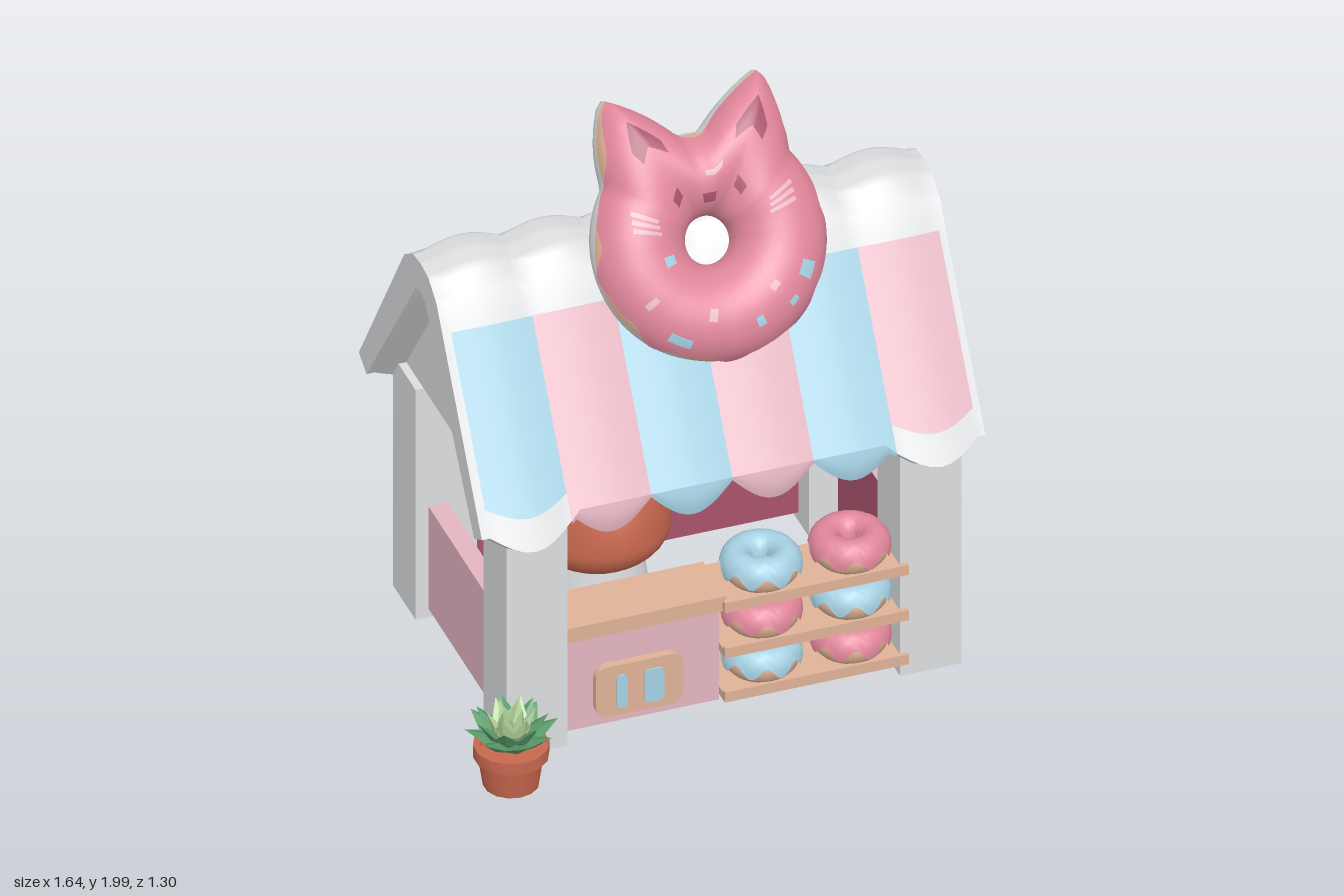
import * as THREE from 'three';
import { toCreasedNormals } from 'three/addons/utils/BufferGeometryUtils.js';

const mat = (name, color) => Object.assign(new THREE.MeshStandardMaterial({ color }), { name });
const M = {
  white: mat('white', 0xdcdddf), blue: mat('sky blue', 0xa5d0e2), pink: mat('pale pink', 0xe3b5c1),
  icing: mat('icing pink', 0xe0869a), deep: mat('deep pink', 0xa9536c), tan: mat('biscuit', 0xdeb296),
  clay: mat('terracotta', 0xc7674e), green: mat('dark green', 0x5a9a69), lime: mat('light green', 0xb4d59b),
};

function add(parent, name, geo, material, x = 0, y = 0, z = 0) {
  const m = new THREE.Mesh(geo, material);
  m.name = name;
  m.position.set(x, y, z);
  parent.add(m);
  return m;
}

// box given by its limits
function box(parent, name, material, x0, x1, y0, y1, z0, z1) {
  return add(parent, name, new THREE.BoxGeometry(x1 - x0, y1 - y0, z1 - z0), material,
    (x0 + x1) / 2, (y0 + y1) / 2, (z0 + z1) / 2);
}

// surface through f(i, j) -> [x, y, z]; faces point along di x dj
function grid(f, nu, nv, crease = 0.7) {
  const pos = [], idx = [];
  for (let i = 0; i <= nu; i++) for (let j = 0; j <= nv; j++) pos.push(...f(i, j));
  for (let i = 0; i < nu; i++) for (let j = 0; j < nv; j++) {
    const a = i * (nv + 1) + j, b = a + nv + 1;
    idx.push(a, b, a + 1, b, b + 1, a + 1);
  }
  const g = new THREE.BufferGeometry();
  g.setAttribute('position', new THREE.Float32BufferAttribute(pos, 3));
  g.setIndex(idx);
  return toCreasedNormals(g, crease);
}

// rounded plate facing +z
function plate(w, h, r, d) {
  const s = new THREE.Shape(), x = w / 2 - r, y = h / 2 - r;
  s.absarc(x, y, r, 0, Math.PI / 2).absarc(-x, y, r, Math.PI / 2, Math.PI);
  s.absarc(-x, -y, r, Math.PI, Math.PI * 1.5).absarc(x, -y, r, Math.PI * 1.5, Math.PI * 2);
  return new THREE.ExtrudeGeometry(s, { depth: d, bevelEnabled: false, curveSegments: 6 });
}

// part of a ring: Ro(theta) outer radius, ri inner radius, b half thickness, p0/p1 limits around the tube
function ringPart(Ro, ri, b, p0, p1, off = 0, t0 = 0, t1 = Math.PI * 2, nu = 48, nv = 10) {
  return grid((i, j) => {
    const t = t0 + (t1 - t0) * i / nu, a0 = p0(t), p = a0 + (p1(t) - a0) * j / nv;
    const c = (Ro(t) + ri) / 2, a = (Ro(t) - ri) / 2;
    const r = c + (a + off) * Math.cos(p);
    return [r * Math.cos(t), r * Math.sin(t), (b + off) * Math.sin(p)];
  }, nu, nv, 1.2);
}
const k = v => () => v;
const smooth = THREE.MathUtils.smoothstep;
const lathe = pts => new THREE.LatheGeometry(pts.map(q => new THREE.Vector2(...q)), 14);

// ---- scalloped roof: puffy ridge, nearly flat slopes ----
const ZC = -0.087, CELL = 0.252, X0 = -0.725;
const OUT = [[0, 1.53], [0.065, 1.523], [0.135, 1.475], [0.515, 0.885]];
const INN = [[0, 1.43], [0.04, 1.42], [0.08, 1.36], [0.45, 0.85]];
function roofPoint(s, x, off = 0, inner = false) {
  const t = Math.min(Math.abs(s), 3), i = Math.min(2, Math.floor(t)), f = t - i, P = inner ? INN : OUT;
  const u = THREE.MathUtils.clamp((x - X0) / CELL, 0, 6), bump = Math.abs(Math.sin(u * Math.PI));
  const tucked = s > 0 && u > 1 && u < 5;
  const ang = Math.min(t / 2, 1) * 0.98;
  const out = (inner ? 0 : bump * (0.01 + 0.02 * (1 - smooth(t, 0.8, 2.1)))) + off;
  // the front eave is drawn in behind the striped lip
  const down = (tucked ? -0.03 : 0.065 * bump) * Math.max(0, t - 2) ** 2;
  const z = P[i][0] + (P[i + 1][0] - P[i][0]) * f + Math.sin(ang) * out + 0.56 * down;
  const y = P[i][1] + (P[i + 1][1] - P[i][1]) * f + Math.cos(ang) * out - 0.83 * down;
  return [x, y, ZC + Math.sign(s) * z];
}
function buildRoof(root) {
  const g = new THREE.Group();
  g.name = 'roof';
  root.add(g);
  const N = 36, S = j => 3 - 6 * j / N;
  const xs = [-0.75];
  for (let i = 0; i <= 48; i++) xs.push(X0 + CELL * i / 8);
  xs.push(0.81);
  const rows = xs.map(x => {
    const o = [], n = [];
    for (let j = 0; j <= N; j++) { o.push(roofPoint(S(j), x)); n.unshift(roofPoint(S(j), x, 0, true)); }
    return [...o, ...n, o[0]];
  });
  add(g, 'roofShell', grid((i, j) => rows[i][j], xs.length - 1, 2 * N + 2), M.white);
  add(g, 'roofEndRight', grid((i, j) => roofPoint(S(j), -0.75, 0, i === 0), 1, N), M.white);
  add(g, 'roofEndLeft', grid((i, j) => roofPoint(S(j), 0.81, 0, i === 1), 1, N), M.white);
  // coloured awning stripes: s0 and s1 are the edges, running from front to back
  const stripe = (c, s0, s1, material) => add(g, 'awningStripe', grid((i, j) =>
    roofPoint(s0 + (s1 - s0) * j / 8, X0 + CELL * (c + i / 8), 0.006), 8, 8), material);
  for (let c = 0; c < 6; c++) {
    const edge = c === 0 || c === 5, color = c % 2 ? M.pink : M.blue;
    stripe(c, edge ? 2.88 : 3, 2.13, color);
    if (edge) continue;
    stripe(c, -2.19, -2.89, color);
    // rounded lip hanging from the front edge
    add(g, 'awningLip', grid((i, j) => {
      const x = X0 + CELL * (c + i / 12), b = Math.sin(Math.PI * i / 12), a = roofPoint(3, x, 0.006);
      const q = 1 - j / 4;
      return [x, a[1] - (0.01 + 0.085 * b) * q, a[2] + 0.012 * b * Math.sin(q * Math.PI * 0.8)];
    }, 12, 4), color);
  }
}

// ---- glazed doughnut for the shelves ----
function shelfDoughnut(parent, x, y, z, material) {
  const g = new THREE.Group();
  g.name = 'doughnut';
  g.position.set(x, y + 0.052, z);
  g.rotation.x = -Math.PI / 2;
  parent.add(g);
  add(g, 'dough', ringPart(k(0.115), 0.03, 0.052, k(-Math.PI), k(Math.PI), 0, 0, 2 * Math.PI, 28, 12), M.tan);
  add(g, 'glaze', ringPart(k(0.115), 0.03, 0.052, t => -0.05 - 0.35 * Math.sin(8 * t), k(Math.PI), 0.008, 0, 2 * Math.PI, 48, 8), material);
}

// ---- big eared doughnut on the roof ----
function buildSign(root) {
  const g = new THREE.Group();
  g.name = 'roofDoughnut';
  g.position.set(0.043, 1.585, 0.165);
  g.rotation.x = -0.56;
  root.add(g);
  const EAR = 0.48, RI = 0.08, B = 0.124, FULL = Math.PI * 2;
  const Ro = t => {
    const d = Math.abs(t - Math.PI / 2);
    const ear = Math.max(0, 1 - Math.abs(d - EAR) / (d < EAR ? 0.36 : 0.46)) ** 1.15;
    return 0.352 - 0.035 * (1 - smooth(d, 0.1, 0.8)) + 0.185 * ear;
  };
  add(g, 'doughnutBack', ringPart(Ro, RI, B, k(Math.PI * 0.95), k(FULL + 0.3), 0, 0, FULL, 120, 16), M.white);
  add(g, 'doughnutDough', ringPart(Ro, RI, B, t => 0.23 + 0.06 * Math.sin(5 * t), k(1), 0.003, 0, FULL, 120, 8), M.tan);
  add(g, 'doughnutGlaze', ringPart(Ro, RI, B, t => 0.38 + 0.13 * Math.sin(9 * t) + 0.06 * Math.sin(17 * t),
    k(Math.PI * 1.02), 0.009, 0, FULL, 120, 16), M.icing);
  // thin decorations that follow the glaze
  const spot = (name, x, y, w, h, material) => {
    const t = (Math.atan2(y, x) + FULL) % FULL, r = Math.hypot(x, y);
    const a = (Ro(t) - RI) / 2, c = (Ro(t) + RI) / 2;
    const p = Math.acos(THREE.MathUtils.clamp((r - c) / a, -0.97, 0.97)), dt = w / 2 / r, dp = h / 2 / a;
    add(g, name, ringPart(Ro, RI, B, k(p - dp), k(p + dp), 0.013, t - dt, t + dt, 4, 4), material);
  };
  for (const s of [-1, 1]) {
    const e = Math.PI / 2 - s * EAR;
    add(g, 'innerEar', ringPart(Ro, RI, B, t => 0.92 + 1.6 * Math.abs(t - e), k(1.36), 0.013, e - 0.13, e + 0.13, 8, 4), M.deep);
    spot('eye', s * 0.1, 0.15, 0.035, 0.035, M.deep);
    for (let n = 0; n < 3; n++) spot('whisker', s * 0.21, 0.065 + n * 0.022, 0.012, 0.08, M.pink);
  }
  spot('nose', 0, 0.135, 0.04, 0.03, M.deep);
  for (const [x, y, w, h] of [[-0.16, -0.26, 0.07, 0.03], [0.245, -0.13, 0.05, 0.045], [-0.16, -0.03, 0.03, 0.035],
    [0.08, -0.25, 0.025, 0.03], [0.19, -0.21, 0.03, 0.02]]) spot('sprinkle', x, y, w, h, M.blue);
  for (const [x, y, w, h] of [[-0.06, -0.21, 0.025, 0.035], [-0.23, -0.14, 0.02, 0.04], [0.14, -0.16, 0.03, 0.02],
    [0.02, 0.2, 0.05, 0.015]]) spot('sprinkle', x, y, w, h, M.pink);
}

// ---- shopkeeper: eared head, pale body, blue base with two raised points ----
function buildKeeper(root) {
  const g = new THREE.Group();
  g.name = 'shopkeeper';
  g.position.set(-0.2, 0, -0.085);
  root.add(g);
  const lower = lathe([[0, 0], [0.125, 0.015], [0.2, 0.085], [0.21, 0.17], [0.18, 0.27]]);
  lower.scale(1, 1, 0.82);
  const q = lower.attributes.position;
  for (let i = 0; i < q.count; i++) if (q.getY(i) > 0.1)
    q.setY(i, 0.1 + (q.getY(i) - 0.1) * (0.35 + 0.65 * smooth(Math.abs(q.getX(i)), 0, 0.13)));
  add(g, 'keeperBase', toCreasedNormals(lower, 0.5), M.blue);
  const body = new THREE.CylinderGeometry(0.13, 0.17, 0.35, 20);
  body.scale(1, 1, 0.8);
  add(g, 'keeperBody', body, M.white, 0, 0.275, 0);
  const head = new THREE.SphereGeometry(1, 32, 24), p = head.attributes.position;
  head.scale(0.215, 0.27, 0.205);
  for (let i = 0; i < p.count; i++) {
    const e = smooth(Math.abs(p.getX(i)), 0, 0.11), y = p.getY(i);
    p.setY(i, y * (y > 0 ? 0.78 + 0.52 * e : 0.5));
  }
  head.computeVertexNormals();
  add(g, 'keeperHead', head, M.clay, 0, 0.5, 0);
}

// ---- potted succulent ----
function buildPlant(root) {
  const g = new THREE.Group();
  g.name = 'pottedPlant';
  g.position.set(-0.69, 0.07, 0.51);
  root.add(g);
  const pot = lathe([[0, 0], [0.083, 0], [0.098, 0.1], [0.112, 0.1], [0.112, 0.14], [0.09, 0.14], [0.088, 0.125], [0, 0.125]]);
  add(g, 'pot', toCreasedNormals(pot, 0.5), M.clay);
  // count, tilt, length, half width, colour
  for (const [n, tilt, len, w, m] of [[8, 1.0, 0.16, 0.046, M.green], [7, 0.72, 0.155, 0.042, M.green],
    [6, 0.45, 0.15, 0.04, M.lime], [4, 0.2, 0.15, 0.034, M.lime]]) {
    for (let i = 0; i < n; i++) {
      const geo = new THREE.OctahedronGeometry(1);
      geo.scale(w, len / 2, 0.014);
      geo.translate(0, len / 2, 0.01);
      geo.rotateX(tilt);
      geo.rotateY(i / n * Math.PI * 2 + tilt * 3);
      geo.computeVertexNormals();
      add(g, 'leaf', geo, m, 0, 0.13, 0);
    }
  }
}

export function createModel() {
  const root = new THREE.Group();
  root.name = 'doughnutStall';

  // corner posts and the solid loft between the gables
  for (const x of [-0.66, 0.56])
    for (const z of [0.2, -0.56]) box(root, 'post', M.white, x, x + 0.19, 0.07, 0.88, z, z + 0.19);
  const s = new THREE.Shape([[-0.455, 0.88], [0.455, 0.88], [0.06, 1.45], [-0.06, 1.45]].map(q => new THREE.Vector2(...q)));
  const loft = new THREE.ExtrudeGeometry(s, { depth: 1.36, bevelEnabled: false });
  loft.rotateY(-Math.PI / 2);
  add(root, 'gableLoft', loft, M.white, 0.725, 0, ZC);

  // low walls: pale outside, deep pink inside (face order +x -x +y -y +z -z)
  const wall = (inside, ...limits) =>
    box(root, 'wall', [0, 1, 2, 3, 4, 5].map(i => i === inside ? M.deep : M.pink), ...limits);
  wall(4, -0.47, 0.56, 0.1, 0.46, -0.52, -0.46);
  wall(0, -0.62, -0.56, 0.1, 0.46, -0.37, 0.2);
  wall(1, 0.65, 0.71, 0.1, 0.46, -0.37, 0.2);
  wall(5, -0.47, 0.01, 0.1, 0.44, 0.3, 0.36);

  // counter and price plate with two plain blue marks
  box(root, 'counterTop', M.tan, -0.47, 0.02, 0.43, 0.48, 0.2, 0.39);
  add(root, 'pricePlate', plate(0.27, 0.175, 0.04, 0.025), M.tan, -0.245, 0.225, 0.36);
  for (const [x, w] of [[-0.3, 0.035], [-0.2, 0.06]])
    add(root, 'priceMark', plate(w, 0.115, 0.015, 0.006), M.blue, x, 0.22, 0.384);

  // display shelves with doughnuts
  [0.12, 0.275, 0.435].forEach((y, r) => {
    box(root, 'shelf', M.tan, 0.01, 0.58, y, y + 0.025, 0.19, 0.395);
    box(root, 'shelfLip', M.tan, 0.01, 0.58, y, y + 0.035, 0.395, 0.41);
    for (let c = 0; c < 2; c++) shelfDoughnut(root, 0.16 + c * 0.275, y + 0.025, 0.305, (r + c) % 2 ? M.icing : M.blue);
  });

  // hanging side board
  const board = add(root, 'hangingBoard', plate(0.5, 0.235, 0.06, 0.04), M.white, 0.685, 0.722, -0.09);
  board.rotation.y = Math.PI / 2;
  for (const z of [0.08, -0.27]) {
    const ring = add(root, 'hangingRing', new THREE.TorusGeometry(0.018, 0.005, 6, 14), M.icing, 0.705, 0.853, z);
    ring.rotation.y = Math.PI / 2;
  }

  buildRoof(root);
  buildSign(root);
  buildKeeper(root);
  buildPlant(root);
  return root;
}
